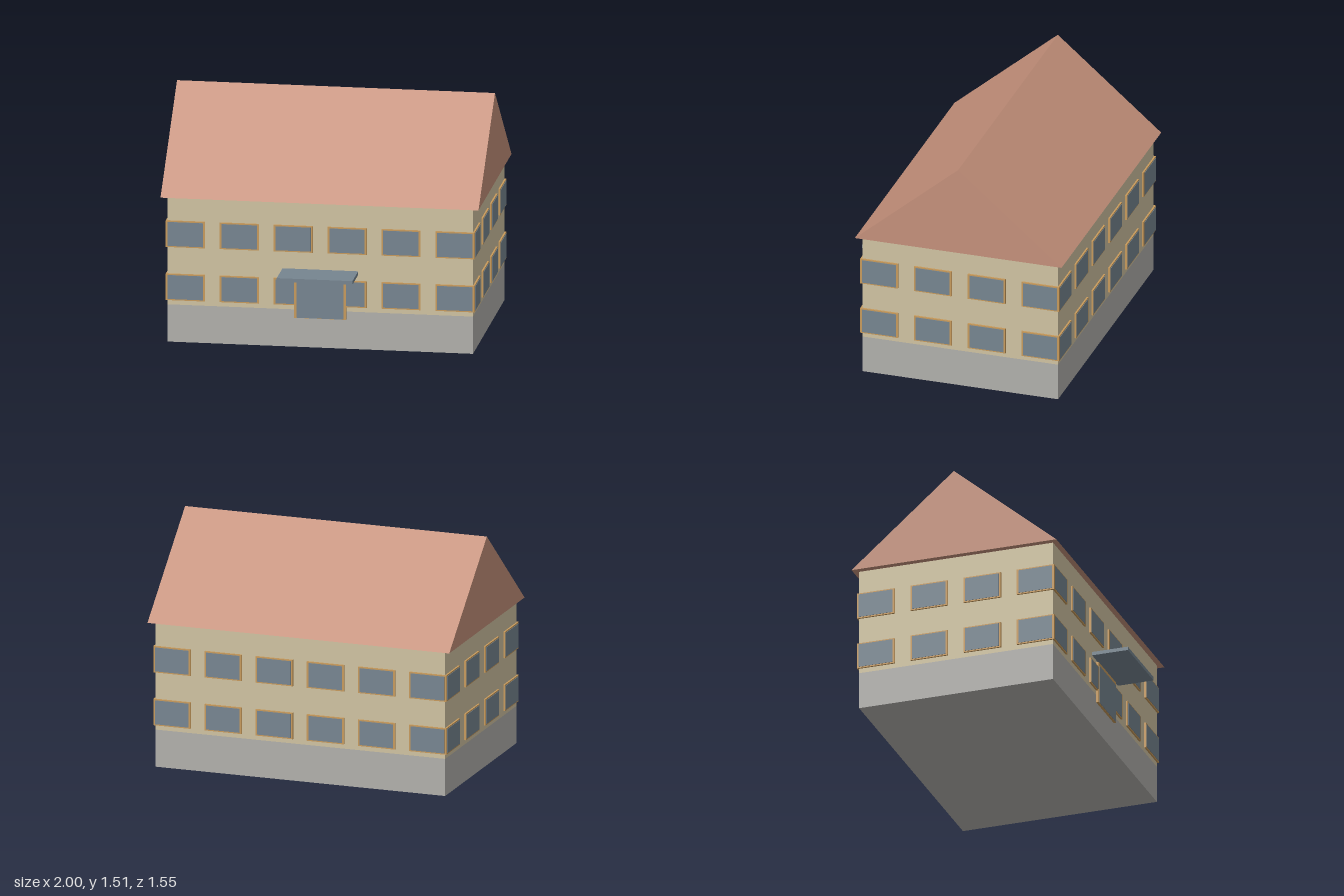
import * as THREE from 'three';

const mat = (name, color) => {
  const m = new THREE.MeshStandardMaterial({ color });
  m.name = name;
  return m;
};

export function createModel() {
  const house = new THREE.Group();
  house.name = 'house';

  const wall = mat('cream plaster', 0xcfc2a1);
  const stone = mat('grey stone', 0xb0afab);
  const tile = mat('terracotta', 0xc4907a);
  const glass = mat('blue grey glass', 0x768590);
  const wood = mat('ochre wood', 0xc79a5c);

  // Box given by its lower and upper bounds on each axis
  function box(name, material, [x0, x1], [y0, y1], [z0, z1], parent = house) {
    const mesh = new THREE.Mesh(new THREE.BoxGeometry(x1 - x0, y1 - y0, z1 - z0), material);
    mesh.position.set((x0 + x1) / 2, (y0 + y1) / 2, (z0 + z1) / 2);
    mesh.name = name;
    parent.add(mesh);
    return mesh;
  }

  const halfX = 0.96, zFront = 0.54, zBack = -0.74, zMid = -0.1;
  box('plinth', stone, [-halfX, halfX], [0, 0.24], [zBack, zFront]);
  box('walls', wall, [-halfX, halfX], [0.24, 0.936], [zBack, zFront]);

  // Solid gable roof: triangle swept along x
  const gable = new THREE.Shape();
  gable.moveTo(-0.676, 0.935);
  gable.lineTo(0.676, 0.935);
  gable.lineTo(0, 1.51);
  gable.closePath();
  const roof = new THREE.Mesh(
    new THREE.ExtrudeGeometry(gable, { depth: 2, bevelEnabled: false }).translate(0, 0, -1),
    tile
  );
  roof.rotation.y = Math.PI / 2;
  roof.position.z = zMid;
  roof.name = 'roof';
  house.add(roof);

  // One window: shallow frame with a glass pane standing just proud of it
  function addWindow(x, y, z, angle) {
    const win = new THREE.Group();
    win.name = 'window';
    box('windowFrame', wood, [-0.123, 0.123], [-0.085, 0.085], [-0.01, 0.011], win);
    box('windowPane', glass, [-0.111, 0.111], [-0.077, 0.077], [0.006, 0.014], win);
    win.position.set(x, y, z);
    win.rotation.y = angle;
    house.add(win);
  }

  for (const y of [0.355, 0.697]) {
    for (let i = 0; i < 6; i++) {
      const x = (i - 2.5) * 0.339;
      addWindow(x, y, zFront, 0);
      addWindow(x, y, zBack, Math.PI);
    }
    for (let i = 0; i < 4; i++) {
      const z = zMid + (i - 1.5) * 0.351;
      addWindow(halfX, y, z, Math.PI / 2);
      addWindow(-halfX, y, z, -Math.PI / 2);
    }
  }

  // Entrance with its flat canopy
  box('doorFrame', wood, [-0.163, 0.163], [0.19, 0.465], [0.5, 0.556]);
  box('doorPanel', glass, [-0.147, 0.147], [0.192, 0.442], [0.552, 0.559]);
  box('canopy', glass, [-0.238, 0.238], [0.479, 0.502], [0.53, 0.776]);

  return house;
}
